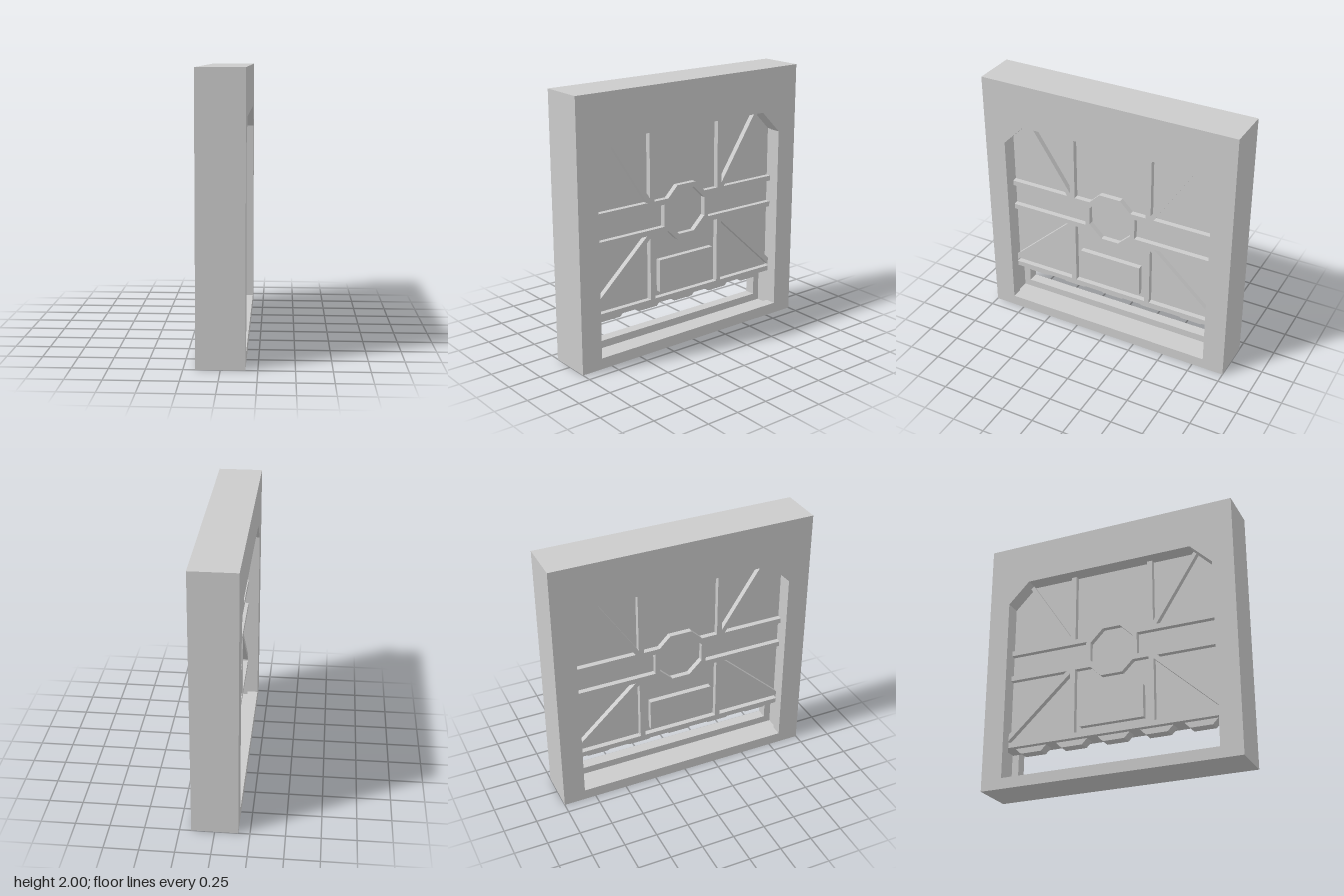
import * as THREE from 'three';

const material = new THREE.MeshStandardMaterial({ color: 0xcccccc, flatShading: true });

const path = (Type, pts) => new Type(pts.map(([u, v]) => new THREE.Vector2(u, v)));
const rect = (w, y0, y1) => [[-w, y0], [w, y0], [w, y1], [-w, y1]];
const mirrorCell = (pts) => pts.map(([u, v]) => [-u, v]).reverse();

// Slab drawn in the z-y plane and extruded along x from x0 to x1
function slab(name, outline, holes, x0, x1) {
  const shape = path(THREE.Shape, outline);
  shape.holes = holes.map((h) => path(THREE.Path, h));
  const geo = new THREE.ExtrudeGeometry(shape, { depth: x1 - x0, bevelEnabled: false });
  geo.translate(0, 0, x0);
  geo.rotateY(Math.PI / 2);
  const mesh = new THREE.Mesh(geo, material);
  mesh.name = name;
  return mesh;
}

export function createModel() {
  const model = new THREE.Group();
  model.name = 'blastDoor';

  const HALF = 0.167;  // half thickness of the frame
  const RIB = 0.083;   // half thickness of the door at its ribs
  const PANEL = 0.042; // half thickness of the recessed panel
  const OPEN = 0.835;  // half width of the opening

  // Frame: two outer layers with the opening, and a core with the door groove
  const frame = new THREE.Group();
  frame.name = 'frame';
  const outer = rect(1, 0, 2);
  const opening = [[-OPEN, 0.083], [OPEN, 0.083], [OPEN, 1.5], [0.667, 1.667], [-0.667, 1.667], [-OPEN, 1.5]];
  frame.add(
    slab('frameFaceLeft', outer, [opening], RIB, HALF),
    slab('frameFaceRight', outer, [opening], -HALF, -RIB),
    slab('frameCore', outer, [rect(0.89, 0.025, 1.7)], -RIB, RIB),
  );
  model.add(frame);

  const door = new THREE.Group();
  door.name = 'door';
  const doorOutline = rect(0.885, 0.34, 1.7);
  door.add(slab('doorPanel', doorOutline, [], -PANEL, PANEL));

  // Recessed cells between the ribs
  const W = OPEN + 0.003;
  const T = 1.67;
  const sideCells = [
    [[0.335, 1.16], [0.67, T], [0.335, T]],
    [[0.36, 1.13], [W, 1.13], [W, 1.503], [0.693, 1.648]],
    [[0.205, 0.92], [W, 0.92], [W, 1.09], [0.205, 1.09]],
    [[0.365, 0.88], [W, 0.445], [W, 0.88]],
    [[0.335, 0.38], [W, 0.38], [W, 0.393], [0.335, 0.857]],
  ];
  const cells = [
    ...sideCells,
    ...sideCells.map(mirrorCell),
    // middle cells, notched around the octagonal ring
    [[0.17, 1.13], [0.295, 1.13], [0.295, T], [-0.295, T], [-0.295, 1.13], [-0.17, 1.13], [-0.085, 1.215], [0.085, 1.215]],
    [[-0.295, 0.38], [0.295, 0.38], [0.295, 0.88], [0.17, 0.88], [0.085, 0.797], [-0.085, 0.797], [-0.17, 0.88], [-0.295, 0.88]],
    // octagonal hub
    [[0.07, 0.838], [0.17, 0.935], [0.17, 1.077], [0.07, 1.177], [-0.07, 1.177], [-0.17, 1.077], [-0.17, 0.935], [-0.07, 0.838]],
  ];
  door.add(
    slab('ribsLeft', doorOutline, cells, PANEL, RIB),
    slab('ribsRight', doorOutline, cells, -RIB, -PANEL),
  );

  // Raised plate on both faces
  door.add(slab('raisedPlate', rect(0.25, 0.42, 0.67), [], -RIB, RIB));

  // Teeth along the bottom edge
  for (let i = -2; i <= 2; i++) {
    const c = i / 3;
    const tooth = [[c - 0.083, 0.297], [c + 0.083, 0.297], [c + 0.127, 0.341], [c - 0.127, 0.341]];
    door.add(slab('tooth', tooth, [], -PANEL, PANEL));
  }
  model.add(door);

  return model;
}
